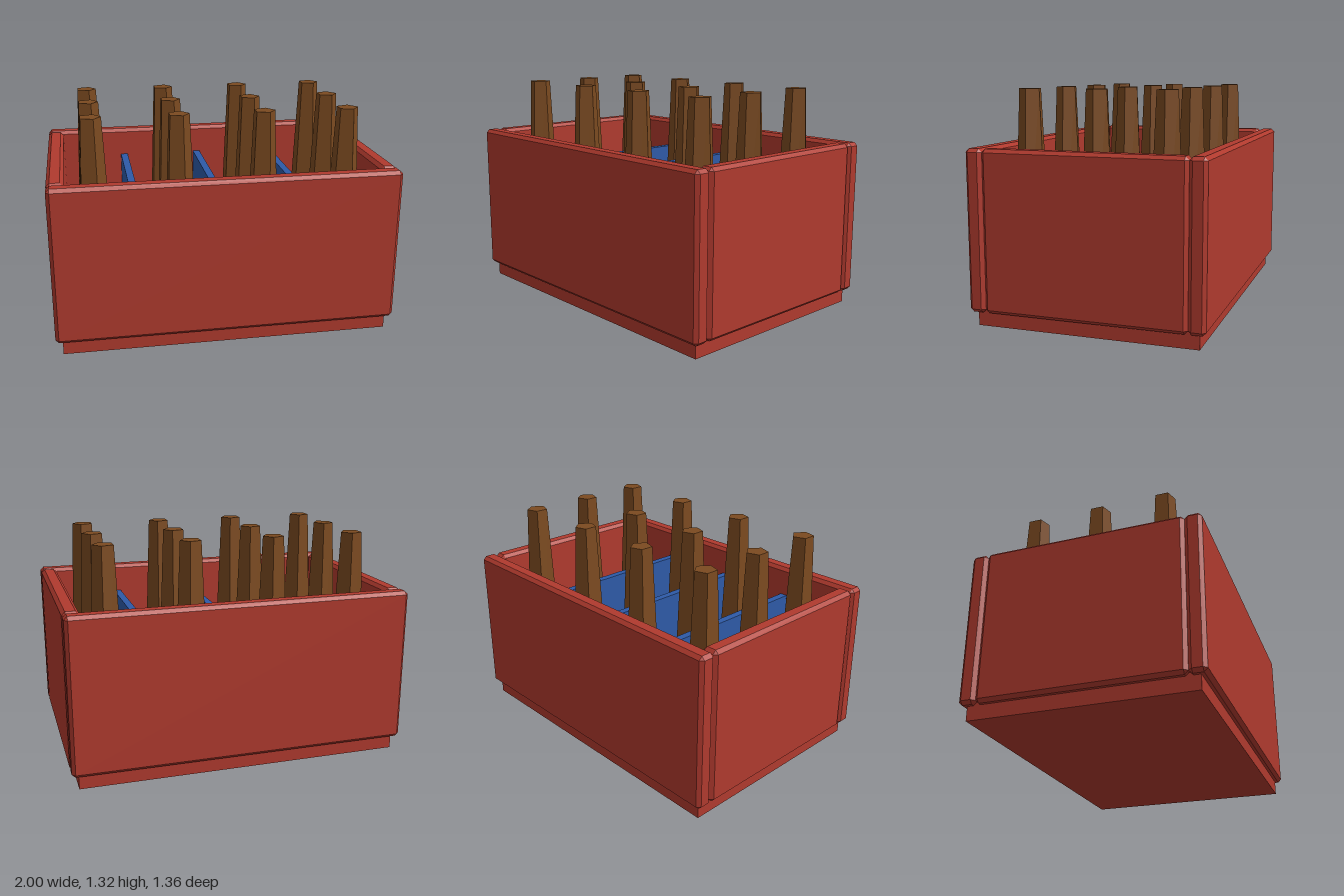
import * as THREE from 'three';
import { ConvexGeometry } from 'three/addons/geometries/ConvexGeometry.js';

const flat = (name, color) => {
  const m = new THREE.MeshStandardMaterial({ color, flatShading: true });
  m.name = name;
  return m;
};

// Box with every edge cut at 45 degrees
function chamferBox(w, h, d, b) {
  const pts = [];
  const x = w / 2, y = h / 2, z = d / 2;
  for (const i of [-1, 1]) for (const j of [-1, 1]) for (const k of [-1, 1]) {
    pts.push(
      new THREE.Vector3(i * x, j * (y - b), k * (z - b)),
      new THREE.Vector3(i * (x - b), j * y, k * (z - b)),
      new THREE.Vector3(i * (x - b), j * (y - b), k * z));
  }
  return new ConvexGeometry(pts);
}

export function createModel() {
  const model = new THREE.Group();
  model.name = 'bottleCrate';
  const red = flat('crateRed', 0xb03a2e);
  const blue = flat('dividerBlue', 0x2e5aa8);
  const brown = flat('bottleBrown', 0x7b4a20);

  const add = (name, geometry, material, x, y, z) => {
    const mesh = new THREE.Mesh(geometry, material);
    mesh.name = name;
    mesh.position.set(x, y, z);
    model.add(mesh);
  };

  // Base, standing slightly inside the walls
  add('base', new THREE.BoxGeometry(1.92, 0.1, 1.28), red, 0, 0.05, 0);

  // Four chamfered walls
  const bottom = 0.083, height = 1 - bottom, mid = bottom + height / 2;
  const longWall = chamferBox(2, height, 0.097, 0.02);
  const endWall = chamferBox(0.097, height, 1.162, 0.02);
  add('frontWall', longWall, red, 0, mid, 0.63);
  add('backWall', longWall, red, 0, mid, -0.63);
  add('leftWall', endWall, red, 0.9515, mid, 0);
  add('rightWall', endWall, red, -0.9515, mid, 0);

  // Dividers between the bottle rows
  const divider = new THREE.BoxGeometry(0.045, 0.73, 1.17);
  for (const x of [-0.5, 0, 0.5]) add('divider', divider, blue, x, 0.46, 0);

  // Five-sided tapered bottles, one corner towards +x
  const bottle = new THREE.CylinderGeometry(0.064, 0.118, 1.22, 5).rotateY(Math.PI / 2);
  for (const x of [-0.744, -0.25, 0.244, 0.738])
    for (const z of [-0.4, 0, 0.4]) add('bottle', bottle, brown, x, 0.71, z);

  return model;
}
